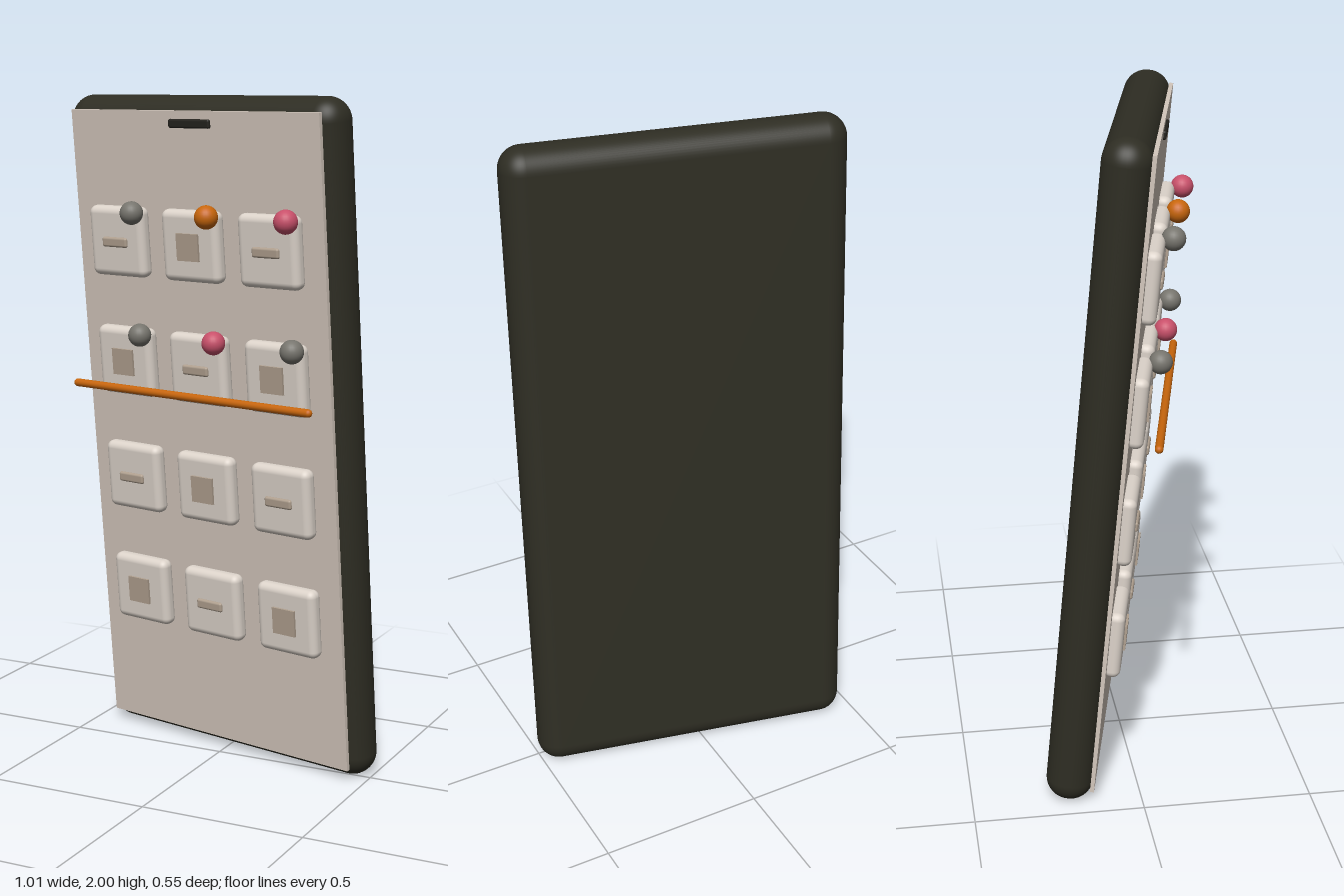
import * as THREE from 'three';
import { RoundedBoxGeometry } from 'three/addons/geometries/RoundedBoxGeometry.js';

const material = (name, color) => {
  const m = new THREE.MeshStandardMaterial({ color });
  m.name = name;
  return m;
};

export function createModel() {
  const shell = material('dark olive shell', 0x2e2d23);
  const screenMat = material('warm screen', 0xd3c7bc);
  const tileMat = material('pale tile', 0xdcd3ca);
  const glyphMat = material('taupe glyph', 0xb0a08f);
  const slotMat = material('black slot', 0x25231e);
  const orange = material('orange', 0xc8660c);
  const pink = material('rose', 0xc8506a);
  const grey = material('grey', 0x77756e);

  const model = new THREE.Group();
  model.name = 'handset';

  // Leaning, turned slab: everything is built in its own upright frame
  const slab = new THREE.Group();
  slab.name = 'tiltedSlab';
  slab.rotation.set(0.09, -0.22, 0, 'YXZ');
  slab.position.set(0, 1, -0.032);
  model.add(slab);

  const add = (name, geometry, mat, x, y, z, parent = slab) => {
    const mesh = new THREE.Mesh(geometry, mat);
    mesh.name = name;
    mesh.position.set(x, y, z);
    parent.add(mesh);
    return mesh;
  };

  // Casing, screen and speaker slot
  add('casing', new RoundedBoxGeometry(0.993, 2.006, 0.14, 8, 0.068), shell, 0, 0, 0);
  add('screen', new THREE.BoxGeometry(0.915, 1.932, 0.012), screenMat, 0, 0, 0.07);
  add('speakerSlot', new RoundedBoxGeometry(0.152, 0.026, 0.016, 3, 0.006), slotMat, 0, 0.93, 0.077);

  // Grid of tiles with alternating bar and square glyphs
  const tileGeo = new RoundedBoxGeometry(0.21, 0.21, 0.05, 4, 0.022);
  const barGeo = new RoundedBoxGeometry(0.095, 0.03, 0.016, 3, 0.007);
  const squareGeo = new THREE.BoxGeometry(0.08, 0.08, 0.014);
  const badgeGeo = new THREE.SphereGeometry(0.0345, 24, 16);
  const badges = [[grey, orange, pink], [grey, pink, grey]];

  for (let row = 0; row < 4; row++) {
    for (let col = 0; col < 3; col++) {
      const tile = new THREE.Group();
      tile.name = 'tileUnit';
      tile.position.set((col - 1) * 0.282, 0.58 - row * 0.365, 0);
      slab.add(tile);
      add('tile', tileGeo, tileMat, 0, 0, 0.09, tile);
      const isBar = (row + col) % 2 === 0;
      add(isBar ? 'barGlyph' : 'squareGlyph', isBar ? barGeo : squareGeo, glyphMat, 0, 0, 0.115, tile);
      // Round badge at the upper corner of the first two rows
      if (badges[row]) add('badge', badgeGeo, badges[row][col], 0.09, 0.094, 0.136, tile);
    }
  }

  // Slim rod floating across the screen
  add('crossRod', new THREE.CapsuleGeometry(0.012, 0.873, 6, 16), orange, 0, 0.145, 0.16)
    .rotation.z = Math.PI / 2;

  return model;
}
